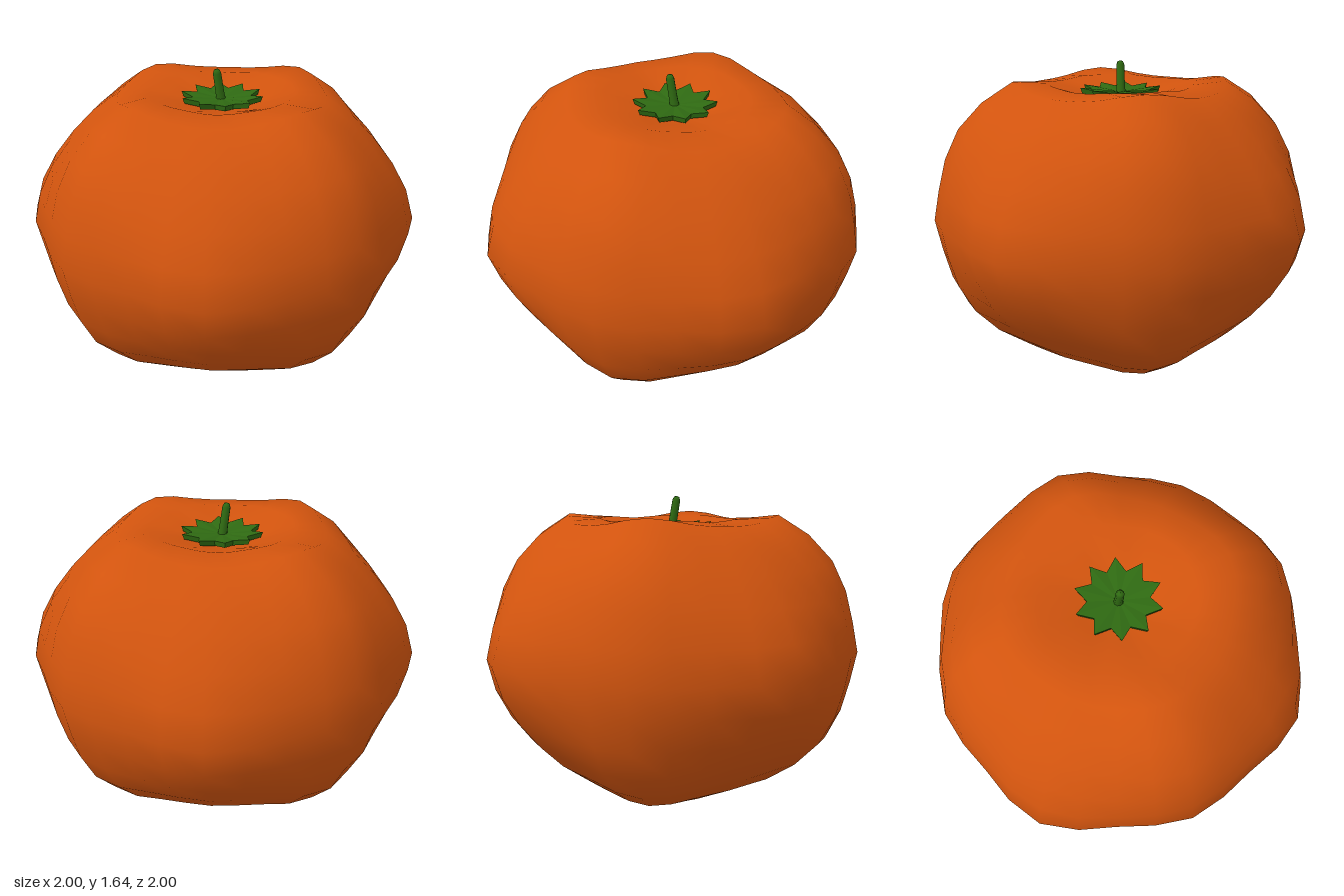
import * as THREE from 'three';
import { mergeVertices } from 'three/addons/utils/BufferGeometryUtils.js';

const CENTRE = 0.84; // height of the widest ring
const ROWS = 8; // latitude steps from equator to pole

// Radius at each latitude step, along the lobes, beside them and between them
const LOBE = [1, 0.987, 1.003, 1.024, 1.027, 1.02, 0.985, 0.985, 1];
const BESIDE = [0.97, 0.965, 0.965, 0.965, 0.97, 0.98, 0.985, 0.99, 1];
const BETWEEN = [1.035, 1.005, 0.975, 0.957, 0.957, 0.965, 0.975, 0.985, 1];

function bodyRadius(row, azimuth) {
  const a = LOBE[row], b = BESIDE[row], c = BETWEEN[row];
  const mean = (a + c) / 2;
  return mean + ((a - c) / 2) * Math.cos(4 * azimuth)
    + (b - mean) * Math.sin(4 * azimuth) ** 2;
}

// Squat sphere with soft lobes and a dimple at the top
function makeBody(material) {
  let geo = new THREE.SphereGeometry(1, 32, ROWS * 2);
  geo.deleteAttribute('uv');
  geo.deleteAttribute('normal');
  const pos = geo.attributes.position;
  const v = new THREE.Vector3();
  for (let i = 0; i < pos.count; i++) {
    v.fromBufferAttribute(pos, i);
    const latitude = Math.asin(THREE.MathUtils.clamp(v.y, -1, 1));
    const row = Math.round(Math.abs(latitude) / (Math.PI / 2) * ROWS);
    v.multiplyScalar(bodyRadius(row, Math.atan2(v.z, v.x)));
    v.y *= CENTRE;
    if (v.y > 0) {
      v.y -= 0.24 * (1 - THREE.MathUtils.smoothstep(Math.hypot(v.x, v.z), 0, 0.6));
    }
    pos.setXYZ(i, v.x, v.y + CENTRE, v.z);
  }
  geo = mergeVertices(geo, 1e-4);
  geo.computeVertexNormals();
  const body = new THREE.Mesh(geo, material);
  body.name = 'fruitBody';
  return body;
}

// Ten-pointed leaf star, its tips curling up
function makeCalyx(material) {
  const geo = new THREE.CylinderGeometry(0.215, 0.205, 0.028, 20, 2);
  const pos = geo.attributes.position;
  for (let i = 0; i < pos.count; i++) {
    const x = pos.getX(i), z = pos.getZ(i);
    if (Math.hypot(x, z) < 0.01) continue;
    const step = Math.round(Math.atan2(z, x) / (Math.PI / 10));
    const tip = step % 2 === 0;
    const scale = tip ? 1 : 0.7;
    pos.setXYZ(i, x * scale, pos.getY(i) + (tip ? 0.025 : 0.012), z * scale);
  }
  geo.computeVertexNormals();
  const calyx = new THREE.Mesh(geo, material);
  calyx.name = 'leafStar';
  calyx.position.y = 1.472;
  return calyx;
}

// Short leaning stem with a rounded end
function makeStem(material) {
  const profile = [[0.026, 0], [0.022, 0.06], [0.021, 0.165], [0.014, 0.183], [0, 0.187]]
    .map(([r, y]) => new THREE.Vector2(r, y));
  const stem = new THREE.Mesh(new THREE.LatheGeometry(profile, 10), material);
  stem.name = 'stem';
  stem.position.set(-0.002, 1.46, 0);
  stem.rotation.set(0.17, 0, 0.015);
  return stem;
}

export function createModel() {
  const skin = new THREE.MeshStandardMaterial({ color: 0xd2540e });
  const green = new THREE.MeshStandardMaterial({ color: 0x2f6a12 });
  const leaf = new THREE.MeshStandardMaterial({ color: 0x2f6a12, flatShading: true });
  const model = new THREE.Group();
  model.name = 'tomato';
  model.add(makeBody(skin), makeCalyx(leaf), makeStem(green));
  return model;
}
